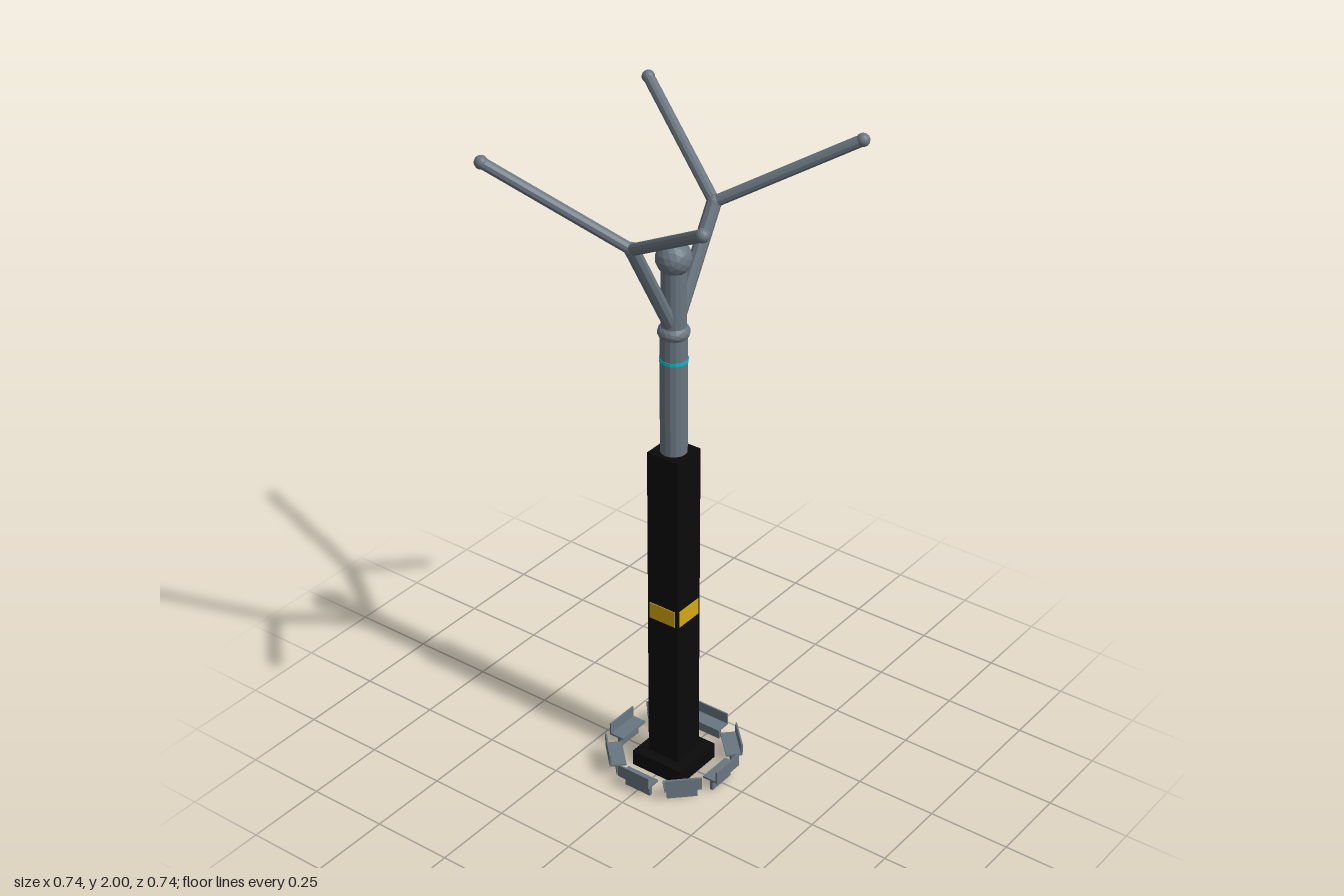
import * as THREE from 'three';

const mat = (name, color, flatShading = true) => {
  const m = new THREE.MeshStandardMaterial({ color, flatShading });
  m.name = name;
  return m;
};

export function createModel() {
  const steel = mat('steel grey', 0x6a7680);
  const black = mat('black', 0x0a0a0a);
  const gold = mat('gold', 0xd4a810);
  const cyan = mat('cyan', 0x00bcd0);

  const model = new THREE.Group();
  model.name = 'mast';
  const add = (name, geo, material, x = 0, y = 0, z = 0, parent = model) => {
    const mesh = new THREE.Mesh(geo, material);
    mesh.name = name;
    mesh.position.set(x, y, z);
    parent.add(mesh);
    return mesh;
  };
  const ball = (name, r, p) => add(name, new THREE.IcosahedronGeometry(r, 2), steel, p.x, p.y, p.z);
  // Round bar between two points
  const bar = (name, a, b, r) => {
    const d = b.clone().sub(a);
    const mesh = add(name, new THREE.CylinderGeometry(r, r, d.length(), 10), steel);
    mesh.position.copy(a).add(b).multiplyScalar(0.5);
    mesh.quaternion.setFromUnitVectors(new THREE.Vector3(0, 1, 0), d.normalize());
  };
  const v = (x, y, z) => new THREE.Vector3(x, y, z);

  // Plinth and square column
  add('plinth', new THREE.BoxGeometry(0.174, 0.05, 0.174), black, 0, 0.025);
  add('column', new THREE.BoxGeometry(0.106, 1.03, 0.106), black, 0, 0.565);

  // Gold plates, one on each face of the column
  for (let i = 0; i < 4; i++) {
    const side = new THREE.Group();
    side.name = 'bandSide';
    side.rotation.y = i * Math.PI / 2;
    add('bandPlate', new THREE.BoxGeometry(0.09, 0.052, 0.004), gold, 0, 0.557, 0.0535, side);
    model.add(side);
  }

  // Pole with glowing ring, collar and cap
  add('lowerPole', new THREE.CylinderGeometry(0.039, 0.039, 0.38, 16), steel, 0, 1.27);
  add('upperPole', new THREE.CylinderGeometry(0.036, 0.036, 0.24, 16), steel, 0, 1.56);
  add('ring', new THREE.CylinderGeometry(0.041, 0.041, 0.01, 16), cyan, 0, 1.37);
  ball('collar', 0.046, v(0, 1.455, 0)).scale.y = 0.65;
  ball('cap', 0.051, v(0, 1.675, 0));

  // Two forked arms
  for (const sx of [1, -1]) {
    const joint = v(sx * 0.18, 1.77, 0);
    bar('arm', v(0, 1.455, 0), joint, 0.021);
    ball('armJoint', 0.021, joint);
    for (const sz of [1, -1]) {
      const tip = v(sx * 0.353, 1.983, sz * 0.353);
      bar('branch', joint, tip, 0.0165);
      ball('branchTip', 0.019, tip);
    }
  }

  // Ring of eight benches with their backs outwards
  for (let i = 0; i < 8; i++) {
    const bench = new THREE.Group();
    bench.name = 'bench';
    bench.rotation.y = i * Math.PI / 4;
    add('seat', new THREE.BoxGeometry(0.11, 0.006, 0.05), steel, 0, 0.043, 0.174, bench);
    add('backrest', new THREE.BoxGeometry(0.11, 0.04, 0.005), steel, 0, 0.06, 0.1965, bench);
    add('support', new THREE.BoxGeometry(0.09, 0.04, 0.01), steel, 0, 0.02, 0.172, bench);
    model.add(bench);
  }
  return model;
}
